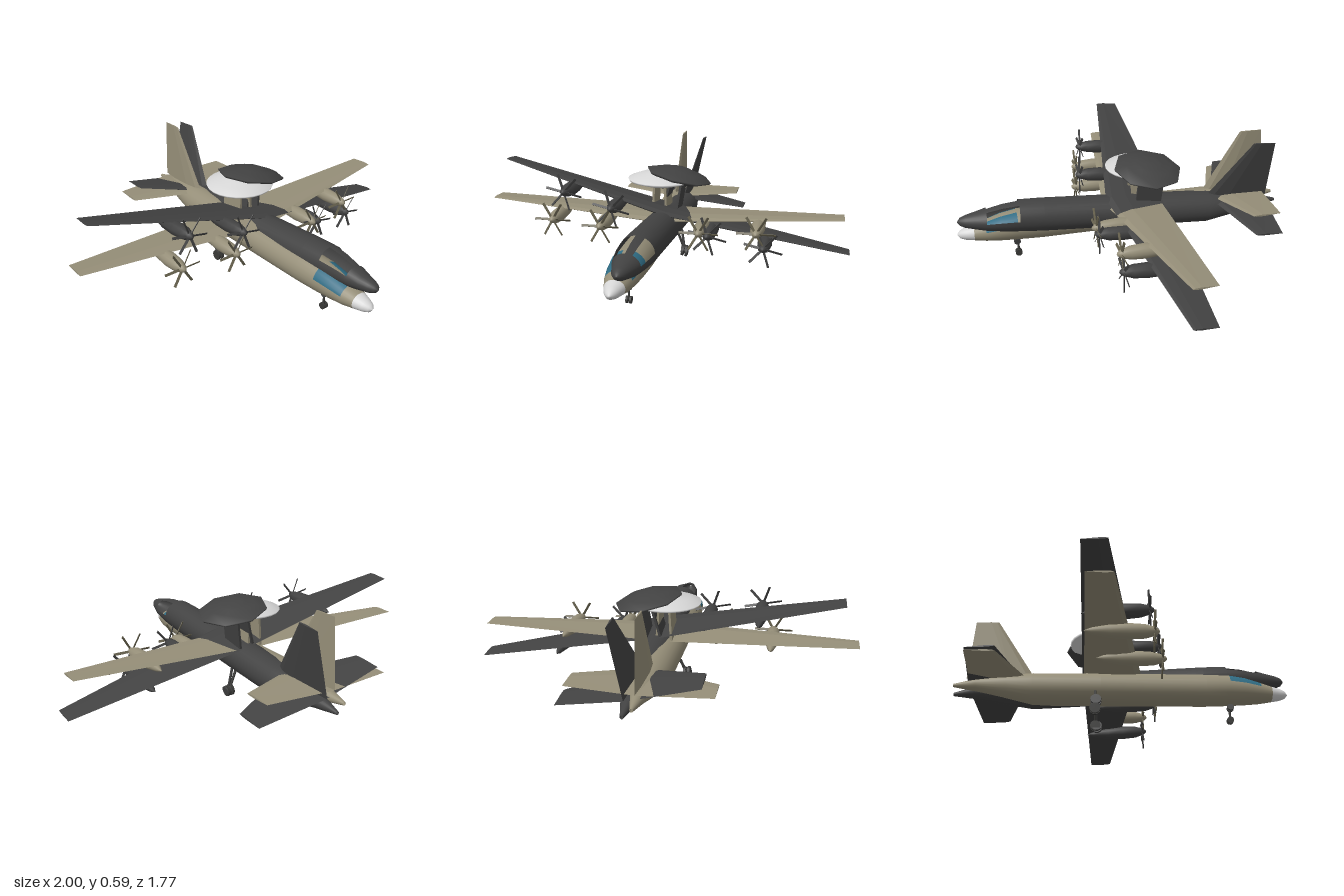
import * as THREE from 'three';

const mat = (name, color) => {
  const m = new THREE.MeshStandardMaterial({ color, side: THREE.DoubleSide });
  m.name = name;
  return m;
};

const add = (parent, name, geometry, material) => {
  const mesh = new THREE.Mesh(geometry, material);
  mesh.name = name;
  parent.add(mesh);
  return mesh;
};

// Fuselage stations: z, bottom, top, half width
const STATIONS = [
  [0.885, -0.024, -0.018, 0.004], [0.872, -0.040, 0.000, 0.022], [0.845, -0.050, 0.012, 0.036],
  [0.80, -0.057, 0.024, 0.050], [0.74, -0.066, 0.043, 0.068], [0.66, -0.073, 0.068, 0.081],
  [0.575, -0.078, 0.083, 0.088], [0.45, -0.083, 0.087, 0.091], [-0.1, -0.086, 0.087, 0.091],
  [-0.46, -0.085, 0.085, 0.090], [-0.60, -0.052, 0.075, 0.070], [-0.76, -0.012, 0.055, 0.036],
  [-0.88, 0.010, 0.028, 0.008],
];

// Lofted fuselage with nose and cockpit panes as material groups; panes stay open without glass
function fuselageGeometry(hasGlass) {
  const n = 24, pos = [], faces = [[], [], []];
  for (const [z, bottom, top, w] of STATIONS)
    for (let j = 0; j < n; j++) {
      const a = j / n * Math.PI * 2;
      pos.push(w * Math.cos(a), (top + bottom) / 2 + (top - bottom) / 2 * Math.sin(a), z);
    }
  for (let i = 0; i < STATIONS.length - 1; i++)
    for (let j = 0; j < n; j++) {
      const k = (j + 1) % n;
      const a = i * n + j, b = i * n + k, c = a + n, d = b + n;
      const pane = (i === 4 || i === 5) && ((j >= 1 && j <= 4) || (j >= 7 && j <= 10));
      faces[i < 3 ? 1 : pane ? 2 : 0].push(a, c, b, b, c, d);
    }
  if (!hasGlass) faces[2] = [];
  const g = new THREE.BufferGeometry();
  g.setAttribute('position', new THREE.Float32BufferAttribute(pos, 3));
  g.setIndex(faces.flat());
  let start = 0;
  faces.forEach((f, m) => { g.addGroup(start, f.length, m); start += f.length; });
  g.computeVertexNormals();
  return g;
}

// Tapered airfoil panel running along +x; each end is { x, y, le, te, t }
function panelGeometry(root, tip) {
  const outline = [[0, 0], [0.1, 0.7], [0.35, 1], [1, 0], [0.35, -1], [0.1, -0.7]];
  const n = outline.length;
  const rings = [root, tip].map(s => outline.map(([u, v]) =>
    [s.x, s.y + v * s.t, s.le + (s.te - s.le) * u]));
  const pos = [];
  const tri = (a, b, c) => pos.push(...a, ...b, ...c);
  for (let j = 0; j < n; j++) {
    const k = (j + 1) % n;
    tri(rings[0][j], rings[1][j], rings[0][k]);
    tri(rings[0][k], rings[1][j], rings[1][k]);
    if (j > 0 && k > 0) {
      tri(rings[1][0], rings[1][k], rings[1][j]);
      tri(rings[0][0], rings[0][j], rings[0][k]);
    }
  }
  const g = new THREE.BufferGeometry();
  g.setAttribute('position', new THREE.Float32BufferAttribute(pos, 3));
  g.computeVertexNormals();
  return g;
}

const lathe = (points, segments) =>
  new THREE.LatheGeometry(points.map(p => new THREE.Vector2(...p)), segments);

// Strut between two points
function strut(parent, name, from, to, r, material) {
  const a = new THREE.Vector3(...from), b = new THREE.Vector3(...to);
  const m = add(parent, name, new THREE.CylinderGeometry(r, r, a.distanceTo(b), 8), material);
  m.position.copy(a).add(b).multiplyScalar(0.5);
  m.quaternion.setFromUnitVectors(new THREE.Vector3(0, 1, 0), b.sub(a).normalize());
}

function wheelPair(parent, x, y, z, r, gap, material) {
  for (const s of [-1, 1]) {
    const w = add(parent, 'wheel', new THREE.CylinderGeometry(r, r, gap * 1.1, 14), material);
    w.rotation.z = Math.PI / 2;
    w.position.set(x + s * gap, y, z);
  }
}

// Nacelle with spinner and six-bladed propeller
function engine(parent, x, front, p) {
  const g = new THREE.Group();
  g.name = 'engine';
  g.position.set(x, 0.06, front);
  parent.add(g);
  const body = lathe([[0, -0.34], [0.016, -0.30], [0.032, -0.21], [0.038, -0.12],
    [0.034, -0.05], [0.024, -0.015]], p.sides);
  add(g, 'nacelle', body.rotateX(Math.PI / 2), p.skin);
  const cone = lathe([[0.024, -0.015], [0.018, 0.002], [0.009, 0.014], [0, 0.018]], p.sides);
  add(g, 'spinner', cone.rotateX(Math.PI / 2), p.skin);
  for (let i = 0; i < 6; i++) {
    const arm = new THREE.Group();
    arm.name = 'propellerBlade';
    arm.rotation.z = i * Math.PI / 3 + Math.PI / 2;
    g.add(arm);
    const blade = add(arm, 'blade', new THREE.BoxGeometry(0.013, 0.085, 0.003), p.blade);
    blade.position.set(0, 0.058, -0.006);
    blade.rotation.y = 0.6;
  }
}

function buildAircraft(name, p) {
  const g = new THREE.Group();
  g.name = name;
  add(g, 'fuselage', fuselageGeometry(p.hasGlass), [p.skin, p.nose, p.glass]);

  // Wings and tail
  const wing = panelGeometry({ x: 0, y: 0.078, le: 0.115, te: -0.192, t: 0.019 },
    { x: 0.98, y: 0.1, le: -0.045, te: -0.167, t: 0.005 });
  const stabilizer = panelGeometry({ x: 0, y: 0.052, le: -0.48, te: -0.80, t: 0.014 },
    { x: 0.345, y: 0.056, le: -0.62, te: -0.772, t: 0.005 });
  const fin = panelGeometry({ x: 0.06, y: 0, le: -0.45, te: -0.815, t: 0.018 },
    { x: 0.40, y: 0, le: -0.665, te: -0.79, t: 0.005 }).rotateZ(Math.PI / 2);
  add(g, 'fin', fin, p.skin);
  for (const s of [1, -1]) {
    add(g, 'wing', wing, p.skin).scale.x = s;
    add(g, 'stabilizer', stabilizer, p.skin).scale.x = s;
    engine(g, s * 0.26, 0.212, p);
    engine(g, s * 0.545, 0.155, p);
    // Dome pylon
    const pylon = add(g, 'domePylon', new THREE.BoxGeometry(0.012, 0.18, 0.14), p.skin);
    pylon.position.set(s * 0.033, 0.16, -0.11);
    pylon.rotation.z = s * 0.06;
    // Main gear
    strut(g, 'mainStrut', [s * 0.08, -0.04, -0.13], [s * 0.125, -0.155, -0.13], 0.007, p.gear);
    wheelPair(g, s * 0.125, -0.157, -0.13, 0.028, 0.011, p.gear);
  }

  // Radar dome
  const dome = add(g, 'radarDome', lathe([[0, -0.034], [0.10, -0.03], [0.175, -0.006], [0.18, 0.004],
    [0.12, 0.026], [0.075, 0.034], [0.06, 0.042], [0, 0.045]], p.domeSides), p.nose);
  dome.position.set(0, 0.262, -0.09);

  // Nose gear
  strut(g, 'noseStrut', [0, -0.06, 0.575], [0, -0.165, 0.575], 0.006, p.gear);
  wheelPair(g, 0, -0.167, 0.575, 0.018, 0.009, p.gear);
  return g;
}

export function createModel() {
  const tan = mat('tan skin', 0x958e78);
  const white = mat('white radome', 0xd6d6d6);
  const blue = mat('blue glass', 0x2f6c84);
  const charcoal = mat('charcoal skin', 0x424242);
  const olive = mat('olive propeller', 0x68634f);
  const rubber = mat('gear grey', 0x3a3a38);

  const model = new THREE.Group();
  model.name = 'aircraftPair';

  const level = buildAircraft('levelAircraft', {
    skin: tan, nose: white, glass: blue, hasGlass: true, blade: olive, gear: rubber,
    sides: 16, domeSides: 24,
  });
  level.position.set(-0.02, 0.185, 0);

  // Second airframe, rolled and pitched, with open cockpit panes
  const banked = buildAircraft('bankedAircraft', {
    skin: charcoal, nose: charcoal, glass: charcoal, hasGlass: false, blade: charcoal, gear: charcoal,
    sides: 8, domeSides: 8,
  });
  banked.position.set(0.018, 0.213, -0.005);
  banked.rotation.set(-0.07, 0, -0.21);

  model.add(level, banked);
  return model;
}
